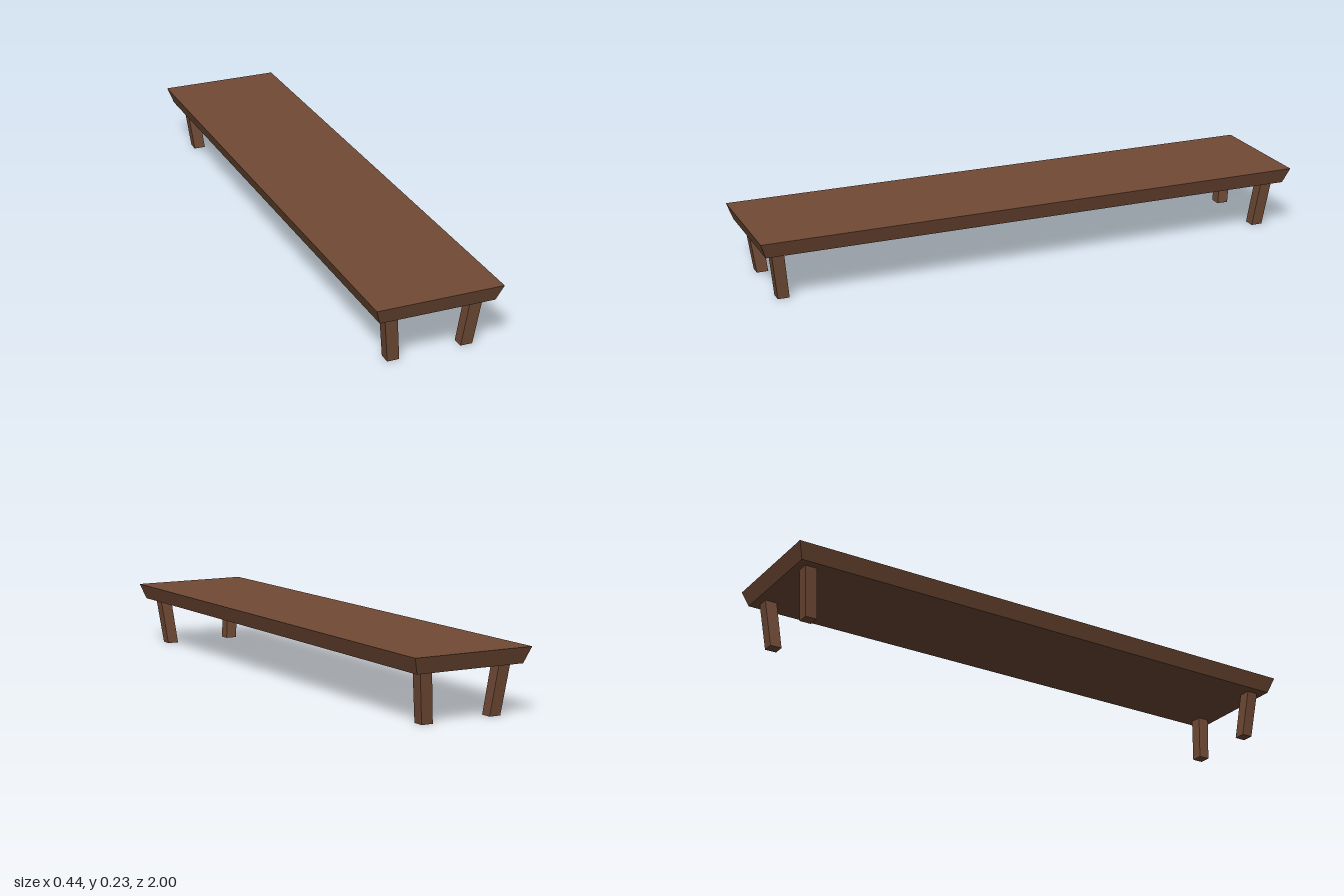
import * as THREE from 'three';

// Box whose bottom face can be resized and shifted: top and bottom are { x, z, w, d }
function taperedBox(y0, y1, bottom, top) {
  const geo = new THREE.BoxGeometry(1, 1, 1);
  const p = geo.attributes.position;
  for (let i = 0; i < p.count; i++) {
    const upper = p.getY(i) > 0;
    const f = upper ? top : bottom;
    p.setXYZ(i, f.x + p.getX(i) * f.w, upper ? y1 : y0, f.z + p.getZ(i) * f.d);
  }
  geo.computeVertexNormals();
  return geo;
}

export function createModel() {
  const model = new THREE.Group();
  model.name = 'lowTable';
  const wood = new THREE.MeshStandardMaterial({ color: 0x704a35 });
  wood.name = 'brown wood';

  const add = (name, geo) => {
    const mesh = new THREE.Mesh(geo, wood);
    mesh.name = name;
    model.add(mesh);
  };

  const underside = 0.173;

  // Long top with edges bevelled inward towards the underside
  add('tableTop', taperedBox(underside, 0.229,
    { x: 0, z: 0, w: 0.404, d: 1.96 },
    { x: 0, z: 0, w: 0.444, d: 2 }));

  // Four legs leaning inward towards the floor
  for (const [sz, end] of [[1, 'front'], [-1, 'back']]) {
    for (const [sx, side] of [[1, 'Left'], [-1, 'Right']]) {
      add(`${end}${side}Leg`, taperedBox(0, underside,
        { x: sx * 0.13, z: sz * 0.911, w: 0.042, d: 0.041 },
        { x: sx * 0.15, z: sz * 0.931, w: 0.044, d: 0.043 }));
    }
  }
  return model;
}
